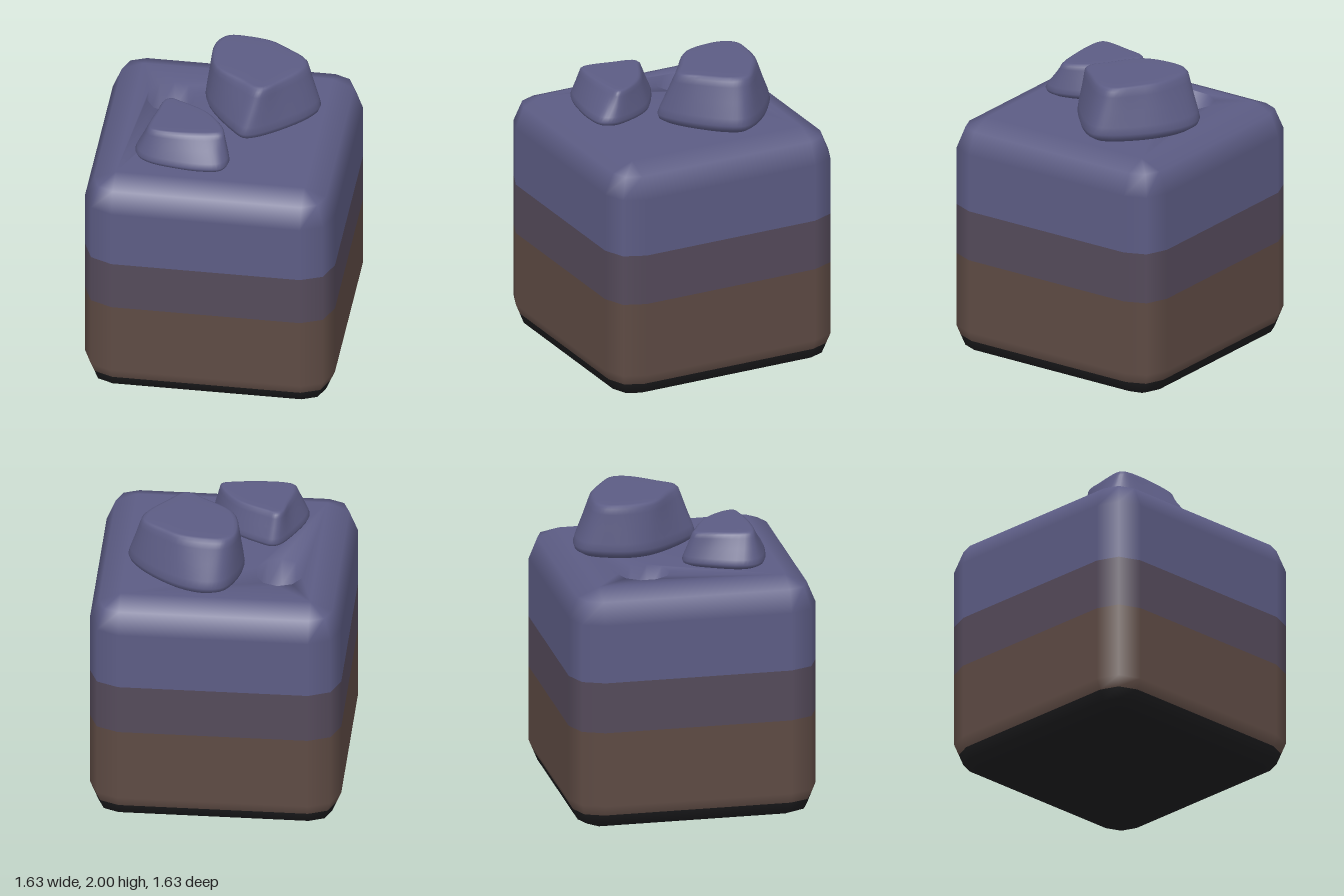
import * as THREE from 'three';
import { mergeGeometries, mergeVertices } from 'three/addons/utils/BufferGeometryUtils.js';

const CORE = 0.615, R = 0.2, TOP = 1.63;

const mat = (name, color) => {
  const m = new THREE.MeshStandardMaterial({ color });
  m.name = name;
  return m;
};

// Skin a stack of equal-length rings of [x, y, z]; capEnd closes the last ring, capStart the first
function loft(rings, { capStart = false, capEnd = false } = {}) {
  const n = rings[0].length, pos = rings.flat(2), index = [];
  for (let j = 0; j < rings.length - 1; j++) {
    for (let i = 0; i < n; i++) {
      const a = j * n + i, b = j * n + (i + 1) % n, c = a + n, d = b + n;
      index.push(a, c, b, b, c, d);
    }
  }
  const cap = (j, up) => {
    const centre = pos.length / 3;
    for (let k = 0; k < 3; k++) pos.push(rings[j].reduce((s, p) => s + p[k], 0) / n);
    for (let i = 0; i < n; i++) {
      const a = j * n + i, b = j * n + (i + 1) % n;
      index.push(centre, up ? b : a, up ? a : b);
    }
  };
  if (capStart) cap(0, false);
  if (capEnd) cap(rings.length - 1, true);
  const g = new THREE.BufferGeometry();
  g.setAttribute('position', new THREE.Float32BufferAttribute(pos, 3));
  g.setIndex(index);
  return g;
}

// Bevel profile of the block: height, corner radius, normal elevation
const Q = Math.PI / 4, M = R * Math.SQRT1_2;
const PROFILE = [[0, 0, -2 * Q], [R - M, M, -Q], [R, R, 0],
  [TOP - R, R, 0], [TOP - R + M, M, Q], [TOP, 0, 2 * Q]];

function profileAt(y) {
  let k = 0;
  while (k < PROFILE.length - 2 && y > PROFILE[k + 1][0]) k++;
  const [y0, r0, e0] = PROFILE[k], [y1, r1, e1] = PROFILE[k + 1];
  const t = (y - y0) / (y1 - y0);
  return [r0 + (r1 - r0) * t, e0 + (e1 - e0) * t];
}

// One coloured layer of the bevelled block, with smooth normals
function layer(levels) {
  const normals = [];
  const rings = levels.map((y) => {
    const [r, elev] = profileAt(y), ring = [];
    for (let corner = 0; corner < 4; corner++) {
      const mid = Q + corner * 2 * Q;
      const cx = Math.sign(Math.cos(mid)) * CORE, cz = Math.sign(Math.sin(mid)) * CORE;
      for (let s = -1; s <= 1; s++) {
        const a = mid + s * Q;
        ring.push([cx + r * Math.cos(a), y, cz + r * Math.sin(a)]);
        normals.push(Math.cos(a) * Math.cos(elev), Math.sin(elev), Math.sin(a) * Math.cos(elev));
      }
    }
    return ring;
  });
  const g = loft(rings);
  g.setAttribute('normal', new THREE.Float32BufferAttribute(normals, 3));
  return g;
}

// Flat top with a round pit; the rim is softly shaded
function topWithPit() {
  const square = [[-CORE, -CORE], [CORE, -CORE], [CORE, CORE], [-CORE, CORE]];
  const shape = new THREE.Shape(square.map(([x, y]) => new THREE.Vector2(x, y)));
  const rim = [];
  for (let i = 0; i < 10; i++) {
    const a = (i + 0.5) * Math.PI / 5;
    rim.push([-0.385 + 0.16 * Math.cos(a), TOP, -0.27 + 0.17 * Math.sin(a)]);
  }
  shape.holes.push(new THREE.Path(rim.map(([x, , z]) => new THREE.Vector2(x, -z))));
  const flat = new THREE.ShapeGeometry(shape).rotateX(-Math.PI / 2).translate(0, TOP, 0);
  flat.deleteAttribute('normal');
  flat.deleteAttribute('uv');
  const pit = loft([rim, rim.map(([x, , z]) => [x, TOP - 0.2, z])], { capEnd: true });
  const g = mergeVertices(mergeGeometries([flat, pit]));
  g.computeVertexNormals();
  return g;
}

// Flat-topped boulder, lofted from a wide outline to a smaller top; rows are [x, z, topX, topZ]
function boulder(rows, height) {
  const curve = (k) => new THREE.CatmullRomCurve3(
    rows.map((r) => new THREE.Vector3(r[k], 0, r[k + 1])), true, 'centripetal');
  const low = curve(0), high = curve(2), n = rows.length * 4;
  const mean = (k) => rows.reduce((s, r) => s + r[k], 0) / rows.length;
  const cLow = new THREE.Vector3(mean(0), 0, mean(1)), cHigh = new THREE.Vector3(mean(2), 0, mean(3));
  // height fraction, blend from outline to top, scale about the centre
  const steps = [[-0.02, 0, 0.72], [0.03, 0, 0.87], [0.1, 0, 0.97], [0.19, 0, 1], [0.32, 0.13, 1],
    [0.6, 0.5, 1], [0.84, 0.79, 1], [0.94, 0.92, 1], [0.985, 1, 0.97], [1, 1, 0.9], [1, 1, 0.5]];
  const rings = steps.map(([f, blend, scale]) => {
    const c = cLow.clone().lerp(cHigh, blend), ring = [];
    for (let i = 0; i < n; i++) {
      const p = low.getPoint(i / n).lerp(high.getPoint(i / n), blend).sub(c).multiplyScalar(scale).add(c);
      ring.push([p.x, TOP + f * height, p.z]);
    }
    return ring;
  });
  const g = loft(rings, { capStart: true, capEnd: true });
  g.computeVertexNormals();
  return g;
}

const LARGE = [
  [-0.16, -0.30, -0.12, -0.33], [-0.12, -0.48, -0.10, -0.45], [-0.05, -0.60, -0.04, -0.505],
  [0.05, -0.635, 0.06, -0.51], [0.20, -0.605, 0.24, -0.48], [0.38, -0.50, 0.36, -0.41],
  [0.55, -0.33, 0.49, -0.31], [0.60, -0.22, 0.505, -0.25], [0.55, -0.11, 0.48, -0.17],
  [0.38, 0.06, 0.36, -0.02], [0.22, 0.17, 0.27, 0.08], [0.15, 0.185, 0.22, 0.08],
  [0.08, 0.13, 0.12, 0.01], [-0.12, -0.13, -0.07, -0.13]];

const SMALL = [
  [-0.52, 0.36, -0.43, 0.39], [-0.44, 0.15, -0.40, 0.22], [-0.36, 0.02, -0.37, 0.09],
  [-0.31, 0.00, -0.33, 0.07], [-0.25, 0.02, -0.28, 0.09], [-0.05, 0.14, -0.10, 0.18],
  [0.03, 0.24, -0.01, 0.27], [0.09, 0.39, 0.05, 0.37], [0.10, 0.47, 0.05, 0.42],
  [0.06, 0.55, -0.02, 0.44], [-0.06, 0.575, -0.12, 0.455], [-0.25, 0.56, -0.25, 0.465],
  [-0.42, 0.52, -0.37, 0.46], [-0.50, 0.46, -0.42, 0.44]];

export function createModel() {
  const group = new THREE.Group();
  const stone = mat('slateBlue', 0x5c5c84);
  const subsoil = mat('duskyMauve', 0x544a5a);
  const soil = mat('earthBrown', 0x5d4a43);
  const bedrock = mat('charcoal', 0x1d1d1f);
  const add = (name, geometry, material) => {
    const m = new THREE.Mesh(geometry, material);
    m.name = name;
    group.add(m);
  };

  // Layered ground block
  add('bedrockLayer', layer([0, R - M, 0.13]), bedrock);
  add('underside', new THREE.PlaneGeometry(2 * CORE, 2 * CORE).rotateX(Math.PI / 2), bedrock);
  add('soilLayer', layer([0.13, R, 0.7]), soil);
  add('subsoilLayer', layer([0.7, 1.04]), subsoil);
  add('stoneLayer', layer([1.04, TOP - R, TOP - R + M, TOP]), stone);
  add('topWithPit', topWithPit(), stone);

  // Boulders resting on top
  add('largeBoulder', boulder(LARGE, 0.37), stone);
  add('smallBoulder', boulder(SMALL, 0.24), stone);
  return group;
}
